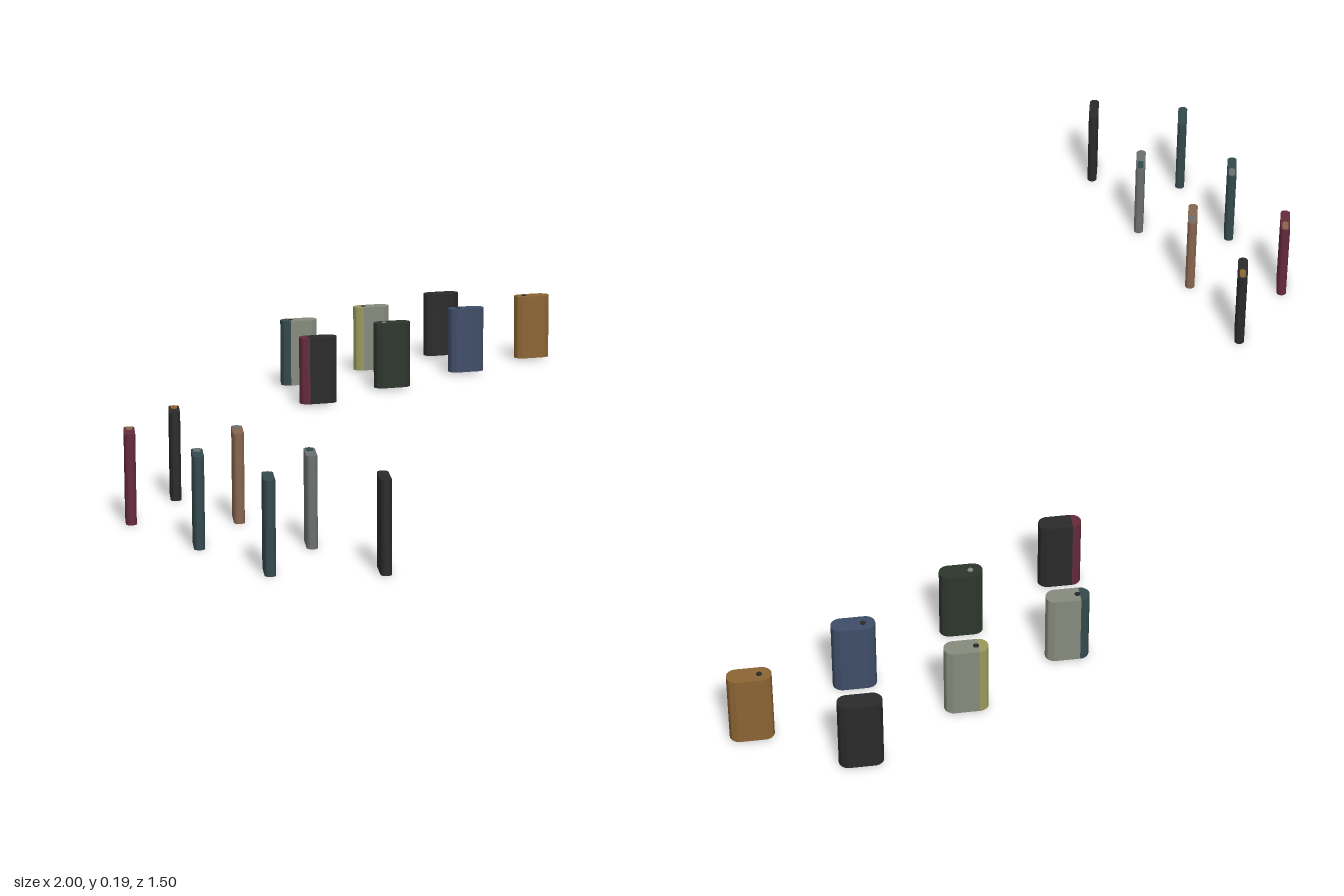
import * as THREE from 'three';
import { toCreasedNormals } from 'three/addons/utils/BufferGeometryUtils.js';

const mat = (name, color) => new THREE.MeshStandardMaterial({ name, color });

export function createModel() {
  const root = new THREE.Group();
  root.name = 'pocketDevices';
  const M = {
    black: mat('black', 0x2a2a2b), teal: mat('teal', 0x33494d), grey: mat('grey', 0x6c6f6f),
    brown: mat('brown', 0x86654e), maroon: mat('maroon', 0x642a3b), green: mat('dark green', 0x2d362d),
    blue: mat('blue', 0x3f4d68), amber: mat('amber', 0x8c6434), sage: mat('sage grey', 0x868b7d),
    olive: mat('olive yellow', 0x9a9a5c),
  };

  // Upright prism from a plan outline
  const prism = (shape, height) => {
    const g = new THREE.ExtrudeGeometry(shape, { depth: height, bevelEnabled: false, curveSegments: 12 });
    g.rotateX(-Math.PI / 2);
    return toCreasedNormals(g, 0.6);
  };
  // Half-round end on the -x side
  const endShape = (l, r) => {
    const s = new THREE.Shape();
    s.absarc(-l / 2, 0, r, Math.PI / 2, Math.PI * 1.5, false);
    return s;
  };
  // Slab with rounded ends; the -x end is left square when it gets a separate cap
  const bodyShape = (l, r, square) => {
    const s = new THREE.Shape();
    s.absarc(l / 2, 0, r, -Math.PI / 2, Math.PI / 2, false);
    if (square) s.lineTo(-l / 2, r).lineTo(-l / 2, -r);
    else s.absarc(-l / 2, 0, r, Math.PI / 2, Math.PI * 1.5, false);
    return s;
  };
  const add = (parent, name, geo, material, x = 0, y = 0) => {
    const m = new THREE.Mesh(geo, material);
    m.name = name;
    m.position.set(x, y, 0);
    parent.add(m);
  };
  const place = (name, x, z, angle) => {
    const g = new THREE.Group();
    g.name = name;
    g.position.set(x, 0, z);
    g.rotation.y = THREE.MathUtils.degToRad(angle);
    root.add(g);
    return g;
  };

  // Thick devices: x, z, body colour, end colour, button colour
  const L = 0.05, R = 0.02, H = 0.158;
  const thick = [
    [0.302, -0.702, 'sage', 'teal', 'black'], [0.559, -0.712, 'sage', 'olive', 'black'],
    [0.818, -0.722, 'black', null, 'black'], [0.179, -0.506, 'black', 'maroon', 'black'],
    [0.436, -0.516, 'green', null, 'sage'], [0.705, -0.526, 'blue', null, 'black'],
    [0.955, -0.535, 'amber', null, 'black'],
  ];
  for (const [x, z, body, end, button] of thick) {
    const g = place('thickDevice', x, z, -27);
    add(g, 'body', prism(bodyShape(L, R, !!end), H), M[body], 0, 0.005);
    if (end) add(g, 'roundedEnd', prism(endShape(L, R), H), M[end], 0, 0.005);
    add(g, 'topButton', new THREE.CylinderGeometry(0.006, 0.006, 0.002, 16), M[button], -0.02, H + 0.005);
  }

  // Slim devices: x, z, body colour, top inlay colour
  const l = 0.062, r = 0.011, h = 0.185;
  const slim = [
    [-0.81, 0.708, 'black', null], [-0.968, 0.557, 'teal', null], [-0.767, 0.461, 'grey', 'teal'],
    [-0.926, 0.31, 'teal', 'grey'], [-0.727, 0.207, 'brown', 'grey'], [-0.887, 0.061, 'maroon', 'brown'],
    [-0.685, -0.033, 'black', 'amber'],
  ];
  for (const [x, z, body, inlay] of slim) {
    const g = place('slimDevice', x, z, 51);
    add(g, 'body', prism(bodyShape(l, r, false), h), M[body]);
    if (inlay) add(g, 'topInlay', prism(bodyShape(0.018, 0.007, false), 0.001), M[inlay], 0.022, h);
  }
  return root;
}
